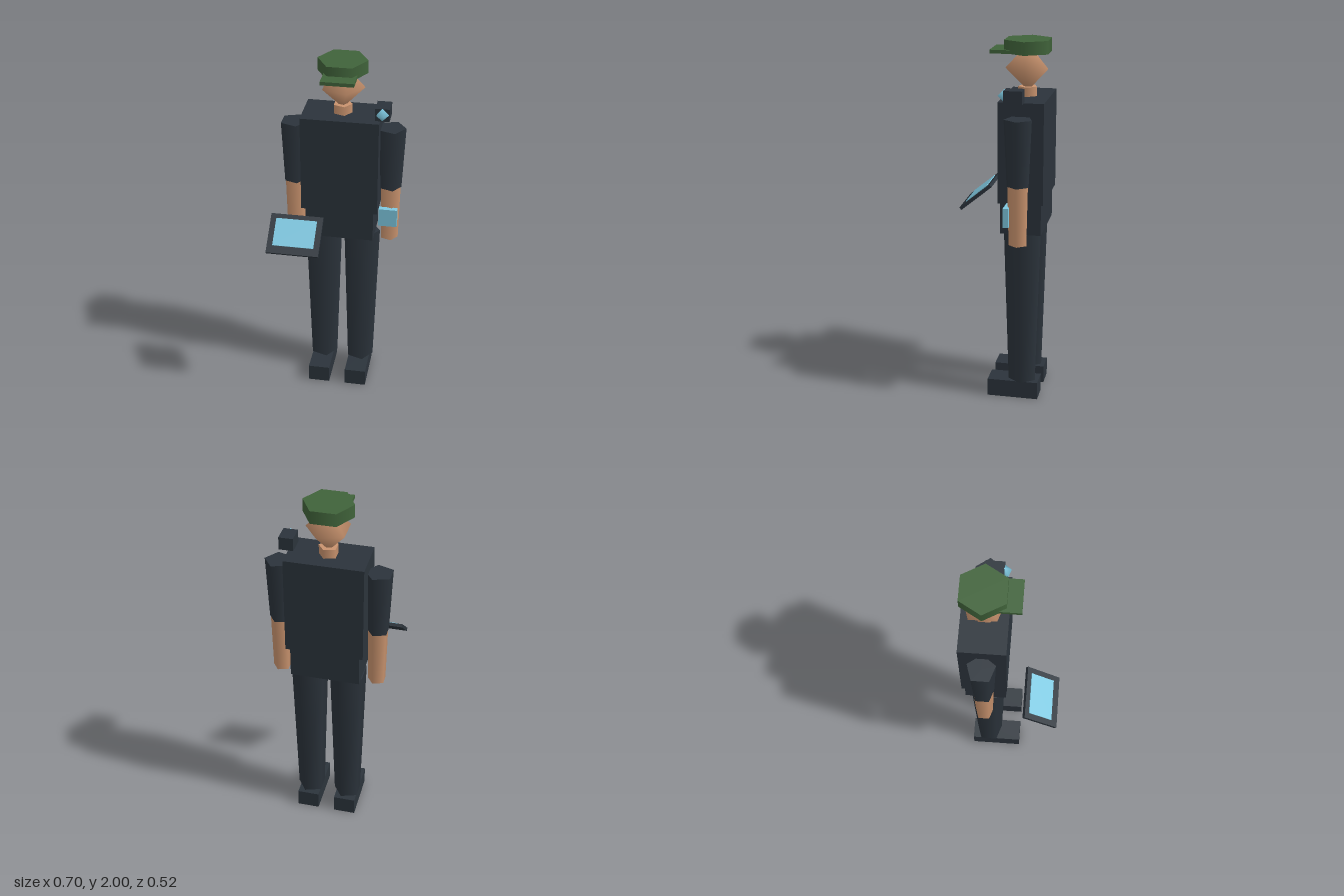
import * as THREE from 'three';

const CX = 0.005, CZ = -0.139; // body axis

export function createModel() {
  const model = new THREE.Group();
  model.name = 'officer';

  const paint = (name, color) => {
    const m = new THREE.MeshStandardMaterial({ color });
    m.name = name;
    return m;
  };
  const uniform = paint('uniform', 0x2b333b);
  const skin = paint('skin', 0xc9936e);
  const green = paint('cap green', 0x40633a);
  const glass = paint('screen blue', 0x7ec8e0);

  const add = (name, geometry, material, x, y, z, parent = model) => {
    const mesh = new THREE.Mesh(geometry, material);
    mesh.name = name;
    mesh.position.set(x, y, z);
    parent.add(mesh);
    return mesh;
  };
  const box = (w, h, d) => new THREE.BoxGeometry(w, h, d);
  // tapered prism between two heights, first corner toward +x
  const limb = (name, rTop, rBottom, y0, y1, x, material, sides = 5) =>
    add(name, new THREE.CylinderGeometry(rTop, rBottom, y1 - y0, sides, 1, false, Math.PI / 2),
      material, x, (y0 + y1) / 2, CZ);
  // five-sided double pyramid, first corner toward +x
  const gem = (r) => new THREE.SphereGeometry(r, 5, 2).rotateY(Math.PI);

  // body
  add('torso', box(0.42, 0.545, 0.243), uniform, CX, 1.4275, CZ);
  add('hips', box(0.376, 0.175, 0.222), uniform, CX, 1.0675, CZ + 0.003);

  // limbs
  for (const [side, s] of [['left', 1], ['right', -1]]) {
    const legX = CX + s * 0.108, armX = CX + s * 0.265;
    limb(side + 'Leg', 0.106, 0.079, 0.1, 0.98, legX, uniform);
    add(side + 'Boot', box(0.122, 0.1, 0.284), uniform, legX, 0.05, -0.092);
    limb(side + 'Sleeve', 0.077, 0.061, 1.272, 1.628, armX, uniform);
    limb(side + 'Forearm', 0.057, 0.05, 0.95, 1.272, armX, skin);
  }

  // head and cap
  limb('neck', 0.053, 0.053, 1.7, 1.75, CX, skin);
  add('head', gem(0.12).scale(1, 1.04, 1), skin, CX, 1.85, CZ);
  limb('cap', 0.133, 0.133, 1.93, 2, CX, green, 6);
  add('capBrim', box(0.176, 0.019, 0.11), green, CX, 1.9395, -0.005);

  // shoulder camera
  add('shoulderCamera', box(0.077, 0.07, 0.098), uniform, 0.2265, 1.735, -0.106);
  add('cameraLens', gem(0.036), glass, 0.227, 1.738, -0.057);

  // wrist display
  add('wristDisplay', box(0.102, 0.105, 0.03), glass, 0.268, 1.108, -0.081);

  // tilted tablet in front of the right hand
  const tablet = new THREE.Group();
  tablet.name = 'tablet';
  tablet.position.set(-0.205, 1.093, 0.168);
  tablet.rotation.x = 0.69;
  model.add(tablet);
  add('tabletBody', box(0.286, 0.018, 0.225), uniform, 0, 0, 0, tablet);
  add('tabletScreen', box(0.224, 0.006, 0.156), glass, 0, 0.01, -0.008, tablet);

  return model;
}
